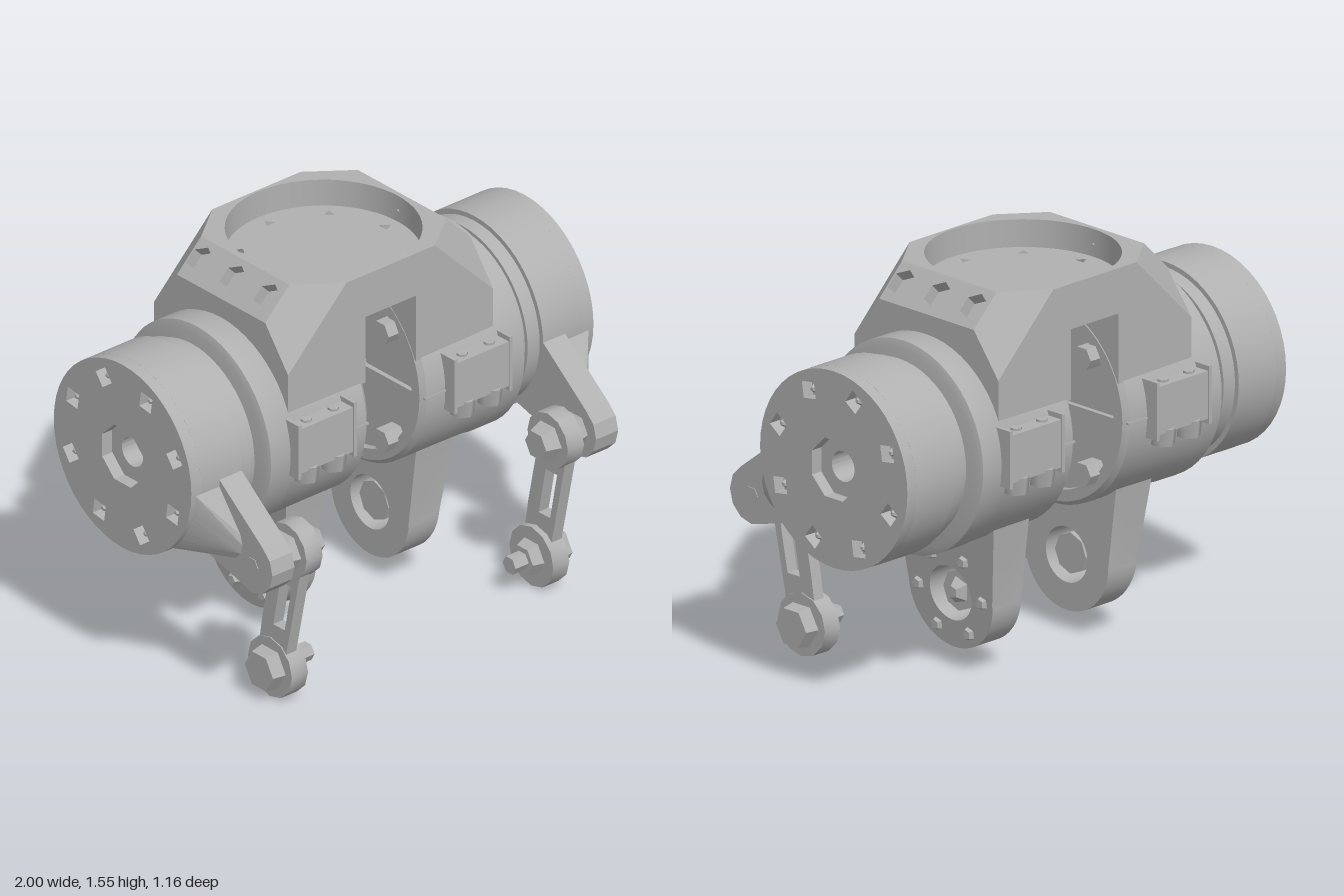
import * as THREE from 'three';
import { toCreasedNormals } from 'three/addons/utils/BufferGeometryUtils.js';
import { ConvexGeometry } from 'three/addons/geometries/ConvexGeometry.js';

const AXIS_Y = 0.936;
const AXIS_Z = -0.107;
const castGrey = new THREE.MeshStandardMaterial({ color: 0xb0b0b0, side: THREE.DoubleSide });
castGrey.name = 'cast grey';

function add(parent, name, geo, x = 0, y = 0, z = 0) {
  const mesh = new THREE.Mesh(geo, castGrey);
  mesh.name = name;
  mesh.position.set(x, y, z);
  parent.add(mesh);
  return mesh;
}

// Prism or cylinder lying along x from x0 to x1
function rod(x0, x1, r0, r1 = r0, sides = 6) {
  const geo = new THREE.CylinderGeometry(r1, r0, x1 - x0, sides).rotateZ(-Math.PI / 2);
  return toCreasedNormals(geo.translate((x0 + x1) / 2, 0, 0), 0.6);
}

// Turned part around x; profile pairs are [radius, x]
function turned(profile) {
  const pts = profile.map(([r, x]) => new THREE.Vector2(r, x));
  return toCreasedNormals(new THREE.LatheGeometry(pts, 56).rotateZ(-Math.PI / 2), 0.5);
}

// Side-view outline (u = -z, v = y) extruded along +x
function plate(shape, x0, x1) {
  const geo = new THREE.ExtrudeGeometry(shape, { depth: x1 - x0, bevelEnabled: false, curveSegments: 24 });
  return toCreasedNormals(geo.rotateY(Math.PI / 2).translate(x0, 0, 0), 0.5);
}

function ngon(Type, cu, cv, r, n, turn = 0) {
  return new Type(Array.from({ length: n }, (_, i) => {
    const a = turn + i * 2 * Math.PI / n;
    return new THREE.Vector2(cu + r * Math.cos(a), cv + r * Math.sin(a));
  }));
}

const outline = (pts) => new THREE.Shape(pts.map(([a, b]) => new THREE.Vector2(a, b)));

function quad(pts) {
  const geo = new THREE.BufferGeometry();
  const [a, b, c, d] = pts;
  geo.setAttribute('position', new THREE.Float32BufferAttribute([a, b, c, a, c, d].flat(), 3));
  geo.computeVertexNormals();
  return geo;
}

// Points on an arc, swept between two x values, for hulls
function arcPoints(u, v, r, from, to, x0, x1) {
  const pts = [];
  for (let i = 0; i <= 12; i++) {
    const a = THREE.MathUtils.degToRad(from + (to - from) * i / 12);
    for (const x of [x0, x1]) pts.push(new THREE.Vector3(x, v + r * Math.sin(a), -u - r * Math.cos(a)));
  }
  return pts;
}

// Chamfered bridge block with round recess and central slot
function buildBridge() {
  const g = new THREE.Group();
  g.name = 'bridge';
  const y0 = 1.09;

  const top = outline([[0.22, 0.38], [-0.22, 0.38], [-0.39, 0.25], [-0.39, -0.25],
    [-0.22, -0.38], [0.22, -0.38], [0.39, -0.25], [0.39, 0.25]]);
  top.holes.push(new THREE.Path().absarc(0, 0, 0.37, 0, Math.PI * 2, true));
  add(g, 'topFace', new THREE.ShapeGeometry(top, 32).rotateX(-Math.PI / 2), 0, 1.55);
  add(g, 'recessWall', new THREE.CylinderGeometry(0.37, 0.37, 0.11, 64, 1, true), 0, 1.495);
  const floor = new THREE.Shape().absarc(0, 0, 0.37, 0, Math.PI * 2);
  for (let i = 0; i < 8; i++) {
    const a = i * Math.PI / 4;
    floor.holes.push(ngon(THREE.Path, 0.31 * Math.cos(a), 0.31 * Math.sin(a), 0.025, 3, a));
  }
  add(g, 'recessFloor', new THREE.ShapeGeometry(floor, 32).rotateX(-Math.PI / 2), 0, 1.44);

  const front = outline([[-0.51, y0], [-0.125, y0], [-0.125, 1.37], [0.125, 1.37], [0.125, y0],
    [0.51, y0], [0.51, 1.26], [0.22, 1.55], [-0.22, 1.55], [-0.51, 1.26]]);
  add(g, 'frontFace', new THREE.ShapeGeometry(front), 0, 0, 0.38);
  add(g, 'backFace', new THREE.ShapeGeometry(front).rotateY(Math.PI), 0, 0, -0.38);
  add(g, 'slotCeiling', new THREE.PlaneGeometry(0.25, 0.76).rotateX(Math.PI / 2), 0, 1.37);

  const side = outline([[-0.38, y0], [0.38, y0], [0.38, 1.26], [0.25, 1.43], [-0.25, 1.43], [-0.38, 1.26]]);
  const wall = new THREE.Shape().moveTo(0.38, 1.37).lineTo(-0.38, 1.37).lineTo(-0.38, y0)
    .absarc(0, AXIS_Y, 0.405, Math.PI - 0.4, 0.4, true).lineTo(0.38, y0);
  const chamfer = outline([[-0.25, -0.085], [0.25, -0.085], [0.25, 0.085], [-0.25, 0.085]]);
  for (const z of [-0.19, 0, 0.19]) chamfer.holes.push(ngon(THREE.Path, z, 0, 0.06, 6, Math.PI / 6));

  for (const s of [1, -1]) {
    const half = new THREE.Group();
    half.name = s > 0 ? 'bridgeLeft' : 'bridgeRight';
    add(half, 'sideFace', new THREE.ShapeGeometry(side).rotateY(Math.PI / 2), 0.51);
    add(half, 'slotWall', new THREE.ShapeGeometry(wall, 24).rotateY(-Math.PI / 2), 0.125);
    const slope = new THREE.Group();
    slope.name = 'chamfer';
    slope.position.set(0.45, 1.49, 0);
    slope.rotation.z = Math.PI / 4;
    add(slope, 'chamferFace', new THREE.ShapeGeometry(chamfer).rotateY(Math.PI / 2));
    for (const z of [-0.19, 0, 0.19]) {
      add(slope, 'boltWell', plate(ngon(THREE.Shape, 0, 0, 0.06, 6, Math.PI / 6), -0.06, -0.05), 0, 0, z);
      const tube = new THREE.CylinderGeometry(0.06, 0.06, 0.06, 6, 1, true).rotateY(Math.PI / 6);
      add(slope, 'boltWellWall', toCreasedNormals(tube.rotateZ(-Math.PI / 2), 0.5), -0.03, 0, z);
    }
    half.add(slope);
    for (const k of [1, -1]) {
      const corner = [[0.22, 1.55, 0.38 * k], [0.51, 1.26, 0.38 * k], [0.51, 1.43, 0.25 * k], [0.39, 1.55, 0.25 * k]];
      add(half, 'cornerChamfer', quad(k > 0 ? corner : corner.reverse()));
    }
    half.scale.x = s;
    g.add(half);
  }
  return g;
}

// Connecting link hanging from the drum arm
function buildLink() {
  const g = new THREE.Group();
  g.name = 'link';
  const topZ = 0.575, topY = 0.657, lowZ = 0.482, lowY = 0.125;
  const neck = outline([[-0.655, 0.62], [-0.56, 0.17], [-0.41, 0.17], [-0.435, 0.33], [-0.495, 0.62]]);
  neck.holes.push(new THREE.Path([[-0.6, 0.51], [-0.535, 0.51], [-0.495, 0.31], [-0.56, 0.31]]
    .map(([a, b]) => new THREE.Vector2(a, b))));
  add(g, 'linkNeck', plate(neck, 0.635, 0.685));
  add(g, 'upperEye', rod(0.61, 0.69, 0.115, 0.115, 12), 0, topY, topZ);
  add(g, 'upperInnerNut', rod(0.55, 0.61, 0.06, 0.08), 0, topY, topZ);
  add(g, 'upperPin', rod(0.69, 0.78, 0.085, 0.06), 0, topY, topZ);
  add(g, 'lowerEye', rod(0.61, 0.69, 0.125, 0.125, 12), 0, lowY, lowZ);
  add(g, 'lowerInnerNut', rod(0.565, 0.61, 0.06, 0.075), 0, lowY, lowZ);
  add(g, 'lowerPin', rod(0.5, 0.57, 0.037), 0, lowY, lowZ);
  add(g, 'lowerOuterNut', rod(0.69, 0.745, 0.09, 0.08), 0, lowY, lowZ);
  return g;
}

// Everything on one side, modelled for +x
function buildSide() {
  const g = new THREE.Group();

  // Motor body with recessed inner face
  add(g, 'motorBody', turned([[0.06, 0.16], [0.35, 0.16], [0.35, 0.13], [0.395, 0.13], [0.413, 0.15],
    [0.415, 0.51], [0.42, 0.52], [0.42, 0.63], [0.39, 0.64], [0.06, 0.64], [0.06, 0.16]]), 0, AXIS_Y);
  add(g, 'bodySeam', new THREE.BoxGeometry(0.48, 0.008, 0.834), 0.38, AXIS_Y);
  for (let i = 0; i < 4; i++) {
    const a = Math.PI / 4 + i * Math.PI / 2;
    add(g, 'innerBolt', rod(0.08, 0.17, 0.048), 0, AXIS_Y + 0.325 * Math.sin(a), 0.325 * Math.cos(a));
  }

  // Rotating drum with bolt sockets
  add(g, 'drum', turned([[0.06, 0.62], [0.3, 0.62], [0.3, 0.655], [0.355, 0.655], [0.355, 0.69], [0.37, 0.69],
    [0.37, 0.75], [0.39, 0.75], [0.39, 0.95], [0.06, 0.95], [0.06, 0.62]]), 0, AXIS_Y);
  const face = new THREE.Shape().absarc(0, 0, 0.39, 0, Math.PI * 2);
  face.holes.push(ngon(THREE.Path, 0, 0, 0.125, 8, Math.PI / 8));
  for (let i = 0; i < 8; i++) {
    const a = THREE.MathUtils.degToRad(25 + 45 * i);
    const u = 0.312 * Math.cos(a), v = 0.312 * Math.sin(a);
    face.holes.push(ngon(THREE.Path, u, v, 0.046, 4, a + 0.5));
    add(g, 'drumBolt', rod(0.94, 0.985, 0.035, 0.008, 5), 0, AXIS_Y + v, -u);
  }
  add(g, 'drumFace', plate(face, 0.95, 1), 0, AXIS_Y);

  // Crank arm blended into the drum
  add(g, 'crankArm', new ConvexGeometry([...arcPoints(-0.575, 0.657, 0.115, 0, 360, 0.75, 0.86),
    ...arcPoints(0, AXIS_Y, 0.385, 178, 232, 0.75, 0.86)]));
  add(g, 'crankFlare', new ConvexGeometry([...arcPoints(-0.44, 0.72, 0.08, 0, 360, 0.75, 0.86),
    ...arcPoints(0, AXIS_Y, 0.385, 182, 230, 0.75, 0.98)]));
  add(g, 'crankPinEnd', rod(0.855, 0.863, 0.035), 0, 0.657, 0.575);
  g.add(buildLink());

  // Clamp ears with vertical bolts, front and back
  for (const k of [1, -1]) {
    add(g, 'clampEar', new THREE.BoxGeometry(0.27, 0.19, 0.12), 0.3875, 0.97, 0.4 * k);
    for (const x of [0.25, 0.525]) add(g, 'clampRib', new THREE.BoxGeometry(0.015, 0.23, 0.12), x, 0.97, 0.405 * k);
    for (const x of [0.32, 0.455]) {
      add(g, 'clampBolt', new THREE.CylinderGeometry(0.055, 0.045, 0.07, 6).toNonIndexed(), x, 0.85, 0.42 * k);
      add(g, 'clampBoltEnd', new THREE.CylinderGeometry(0.022, 0.022, 0.012, 6), x, 1.068, 0.42 * k);
    }
  }

  // Lower lug with tapering outer face
  const outerX = (y) => 0.36 + (y - 0.08) * 0.106;
  const lug = new THREE.Shape().moveTo(-0.265, 0.64).lineTo(-0.22, 0.295)
    .absarc(0, 0.295, 0.22, Math.PI, Math.PI * 2).lineTo(0.265, 0.64);
  lug.holes.push(new THREE.Path().absarc(0, 0.295, 0.11, 0, Math.PI * 2, true));
  let lugGeo = new THREE.ExtrudeGeometry(lug, { depth: 1, bevelEnabled: false, curveSegments: 24 }).rotateY(Math.PI / 2);
  const p = lugGeo.attributes.position;
  for (let i = 0; i < p.count; i++) p.setX(i, p.getX(i) > 0.5 ? outerX(p.getY(i)) : 0.23);
  add(g, 'lug', toCreasedNormals(lugGeo, 0.5));
  add(g, 'lugHub', rod(0.25, 0.34, 0.082, 0.082, 8), 0, 0.295);
  add(g, 'lugHubBolt', rod(0.34, 0.375, 0.055, 0.025, 5), 0, 0.295);
  for (let i = 0; i < 6; i++) {
    const a = i * Math.PI / 3;
    const y = 0.295 + 0.168 * Math.sin(a);
    add(g, 'lugBolt', rod(-0.02, 0.018, 0.036, 0.02, 5), outerX(y), y, 0.168 * Math.cos(a));
  }
  return g;
}

export function createModel() {
  const model = new THREE.Group();
  model.name = 'twinMotorJoint';
  const core = new THREE.Group();
  core.name = 'assembly';
  core.position.z = AXIS_Z;
  core.add(buildBridge());
  for (const s of [1, -1]) {
    const side = buildSide();
    side.name = s > 0 ? 'leftMotor' : 'rightMotor';
    side.scale.x = s;
    core.add(side);
  }
  model.add(core);
  return model;
}
